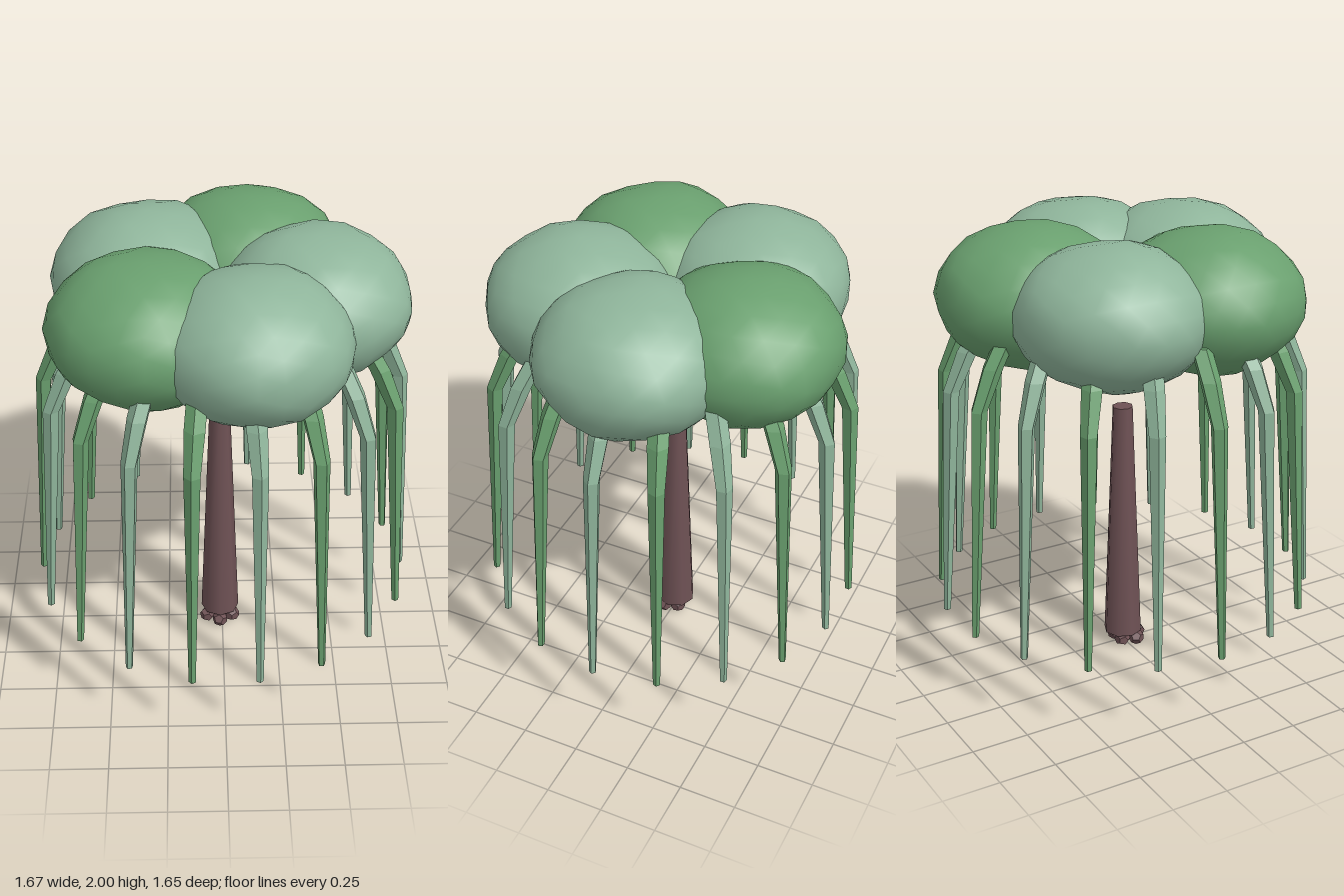
import * as THREE from 'three';
import { mergeVertices } from 'three/addons/utils/BufferGeometryUtils.js';

function material(name, hex) {
  const m = new THREE.MeshStandardMaterial({ color: hex });
  m.name = name;
  return m;
}

// Icosphere with gentle lumps and smooth normals
function lumpyGeometry(seed) {
  let geo = new THREE.IcosahedronGeometry(1, 3);
  geo.deleteAttribute('uv');
  geo.deleteAttribute('normal');
  geo = mergeVertices(geo, 1e-4);
  const p = geo.attributes.position;
  const v = new THREE.Vector3();
  for (let i = 0; i < p.count; i++) {
    v.fromBufferAttribute(p, i);
    const n = Math.sin(v.x * 5 + seed) * Math.sin(v.y * 4 + seed * 2) * Math.sin(v.z * 5 + seed * 3);
    v.multiplyScalar(1 + 0.03 * n);
    p.setXYZ(i, v.x, v.y, v.z);
  }
  geo.computeVertexNormals();
  return geo;
}

// Tapered, faceted tube through rings of [x, y, radius]
function strandGeometry(rings, sides) {
  const pos = [], index = [];
  for (const [x, y, r] of rings) {
    for (let s = 0; s < sides; s++) {
      const a = (s / sides) * Math.PI * 2;
      pos.push(x + Math.cos(a) * r, y, Math.sin(a) * r);
    }
  }
  for (let k = 0; k < rings.length - 1; k++) {
    for (let s = 0; s < sides; s++) {
      const a = k * sides + s, b = k * sides + ((s + 1) % sides);
      const c = a + sides, d = b + sides;
      index.push(a, c, b, b, c, d);
    }
  }
  // End caps
  const last = (rings.length - 1) * sides;
  for (let s = 1; s < sides - 1; s++) {
    index.push(0, s, s + 1);
    index.push(last, last + s + 1, last + s);
  }
  const geo = new THREE.BufferGeometry();
  geo.setAttribute('position', new THREE.Float32BufferAttribute(pos, 3));
  geo.setIndex(index);
  const flat = geo.toNonIndexed();
  flat.computeVertexNormals();
  return flat;
}

export function createModel() {
  const model = new THREE.Group();
  model.name = 'weepingTree';
  const paleLeaf = material('paleLeaf', 0x8fb59b);
  const deepLeaf = material('deepLeaf', 0x6aa06f);
  const bark = material('bark', 0x6f5255);

  const add = (name, geo, mat) => {
    const mesh = new THREE.Mesh(geo, mat);
    mesh.name = name;
    model.add(mesh);
    return mesh;
  };

  // Trunk
  add('trunk', new THREE.CylinderGeometry(0.045, 0.086, 1.1, 8), bark)
    .position.set(-0.01, 0.615, -0.005);

  // Root lumps around the foot
  for (let i = 0; i < 5; i++) {
    const a = (i / 5) * Math.PI * 2 + 0.3;
    const root = add('root', new THREE.DodecahedronGeometry(0.036), bark);
    root.position.set(-0.012 + Math.cos(a) * 0.06, 0.036, 0.015 + Math.sin(a) * 0.055);
    root.rotation.y = i * 1.3;
    root.scale.y = 0.95;
  }

  // Five crown lobes
  const lobeMats = [paleLeaf, paleLeaf, deepLeaf, paleLeaf, deepLeaf];
  lobeMats.forEach((mat, i) => {
    const a = (i / 5) * Math.PI * 2;
    const lobe = add('crownLobe', lumpyGeometry(i * 1.7 + 0.5), mat);
    lobe.position.set(Math.cos(a) * 0.387, 1.698, Math.sin(a) * 0.387);
    lobe.scale.set(0.41, 0.3, 0.41);
  });

  // Eighteen hanging strands, alternating in colour
  const strand = strandGeometry([
    [0.82, 0.315, 0.016], [0.76, 1.33, 0.036], [0.685, 1.5, 0.045], [0.61, 1.62, 0.045],
  ], 5);
  for (let i = 0; i < 18; i++) {
    add('hangingStrand', strand, i % 2 ? deepLeaf : paleLeaf).rotation.y = -(i / 18) * Math.PI * 2;
  }
  return model;
}
